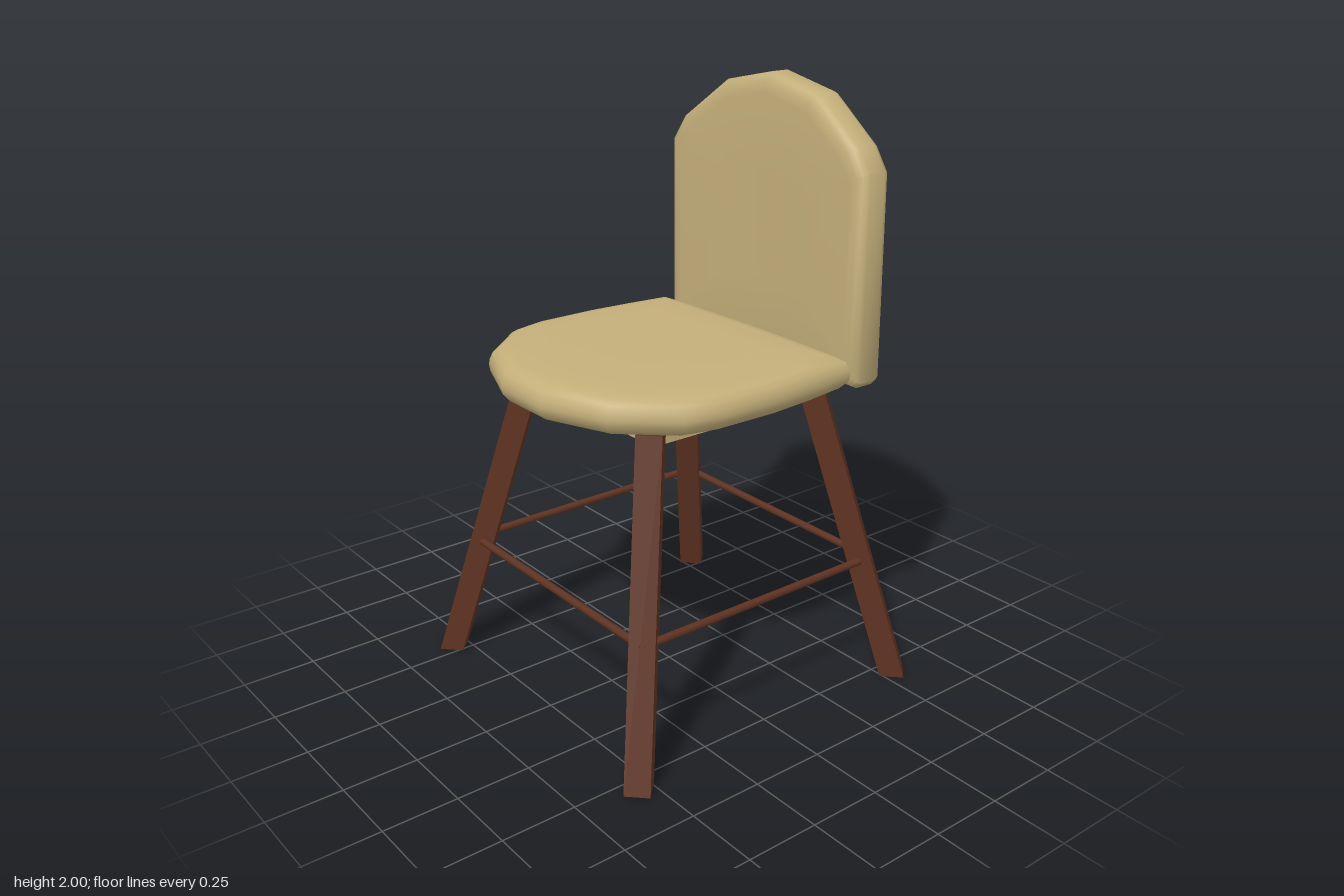
import * as THREE from 'three';
import { mergeVertices, toCreasedNormals } from 'three/addons/utils/BufferGeometryUtils.js';

// Closed pad: an outline repeated through [depth, inset] rings, closed at both ends.
function padGeometry(outline, centre, half, rings, place) {
  const pos = [], idx = [], n = outline.length;
  for (const [depth, inset] of rings) {
    for (const [u, v] of outline) {
      pos.push(...place(
        centre[0] + (u - centre[0]) * (1 - inset / half[0]),
        centre[1] + (v - centre[1]) * (1 - inset / half[1]), depth));
    }
  }
  const last = rings.length - 1;
  const c0 = pos.length / 3, c1 = c0 + 1;
  pos.push(...place(...centre, rings[0][0]), ...place(...centre, rings[last][0]));
  for (let j = 0; j < n; j++) {
    const k = (j + 1) % n;
    for (let r = 0; r < last; r++) {
      const a = r * n + j, b = r * n + k;
      idx.push(a, b, a + n, b, b + n, a + n);
    }
    idx.push(c0, k, j, c1, last * n + j, last * n + k);
  }
  const g = new THREE.BufferGeometry();
  g.setAttribute('position', new THREE.Float32BufferAttribute(pos, 3));
  g.setIndex(idx);
  return toCreasedNormals(mergeVertices(g), 0.8);
}

export function createModel() {
  const model = new THREE.Group();
  model.name = 'chair';
  const cushion = new THREE.MeshStandardMaterial({ name: 'tan cushion', color: 0xc4af7a });
  const wood = new THREE.MeshStandardMaterial({ name: 'dark wood', color: 0x5f3322 });
  const add = (name, geometry, material) => {
    const mesh = new THREE.Mesh(geometry, material);
    mesh.name = name;
    model.add(mesh);
    return mesh;
  };

  // Seat: straight at the backrest, rounded toward -x
  const seatOutline = [
    [0.36, 0.47], [0.371, 0.24], [0.375, 0], [0.371, -0.24], [0.36, -0.47],
    [0.2, -0.487], [0.03, -0.5], [-0.2, -0.497], [-0.32, -0.467], [-0.485, -0.325],
    [-0.573, -0.105], [-0.573, 0.105], [-0.485, 0.325], [-0.32, 0.475], [-0.19, 0.505],
    [0.03, 0.508], [0.2, 0.493],
  ];
  const seatRings = [
    [1.05, 0.25], [1.05, 0.045], [1.06, 0.025], [1.085, 0.003], [1.105, 0], [1.125, 0.002],
    [1.15, 0.014], [1.163, 0.035], [1.169, 0.07], [1.173, 0.18], [1.175, 0.32],
  ];
  add('seat', padGeometry(seatOutline, [-0.1, 0], [0.475, 0.5], seatRings,
    (x, z, y) => [x, y, z]), cushion);

  // Backrest: arched top, bowed slightly outward across its width
  const backOutline = [
    [0.475, 1.74], [0.48, 1.07], [0.46, 1.05], [0.24, 1.047], [0, 1.045], [-0.24, 1.047],
    [-0.45, 1.05], [-0.465, 1.07], [-0.465, 1.73], [-0.41, 1.815], [-0.21, 1.955],
    [0, 2], [0.225, 1.955], [0.42, 1.815],
  ];
  const backRings = [
    [0.365, 0.3], [0.365, 0.06], [0.369, 0.03], [0.382, 0.008], [0.398, 0],
    [0.465, 0], [0.482, 0.008], [0.489, 0.028], [0.491, 0.06], [0.491, 0.3],
  ];
  add('backrest', padGeometry(backOutline, [0, 1.5], [0.47, 0.48], backRings,
    (z, y, d) => [d + 0.025 * (1 - (z / 0.475) ** 2), y, z]), cushion);

  // Block under the seat
  add('seatBase', new THREE.BoxGeometry(0.56, 0.08, 0.56), cushion).position.y = 1;

  // Splayed square legs with level ends
  const height = 1.04, topOffset = 0.328, footOffset = 0.548;
  for (const sx of [-1, 1]) {
    for (const sz of [-1, 1]) {
      const leg = new THREE.CylinderGeometry(0.058, 0.058, height, 4).toNonIndexed();
      leg.translate(0, height / 2, 0);
      const p = leg.attributes.position;
      for (let i = 0; i < p.count; i++) {
        const off = THREE.MathUtils.lerp(footOffset, topOffset, p.getY(i) / height);
        p.setX(i, p.getX(i) + sx * off);
        p.setZ(i, p.getZ(i) + sz * off);
      }
      leg.computeVertexNormals();
      add((sx < 0 ? 'front' : 'back') + (sz < 0 ? 'Right' : 'Left') + 'Leg', leg, wood);
    }
  }

  // Thin stretchers joining the legs
  const rod = new THREE.CylinderGeometry(0.013, 0.013, 0.96, 8);
  for (const s of [-1, 1]) {
    const side = add('sideStretcher', rod, wood);
    side.rotation.z = Math.PI / 2;
    side.position.set(0, 0.432, s * 0.48);
    const cross = add('crossStretcher', rod, wood);
    cross.rotation.x = Math.PI / 2;
    cross.position.set(s * 0.48, 0.432, 0);
  }
  return model;
}
